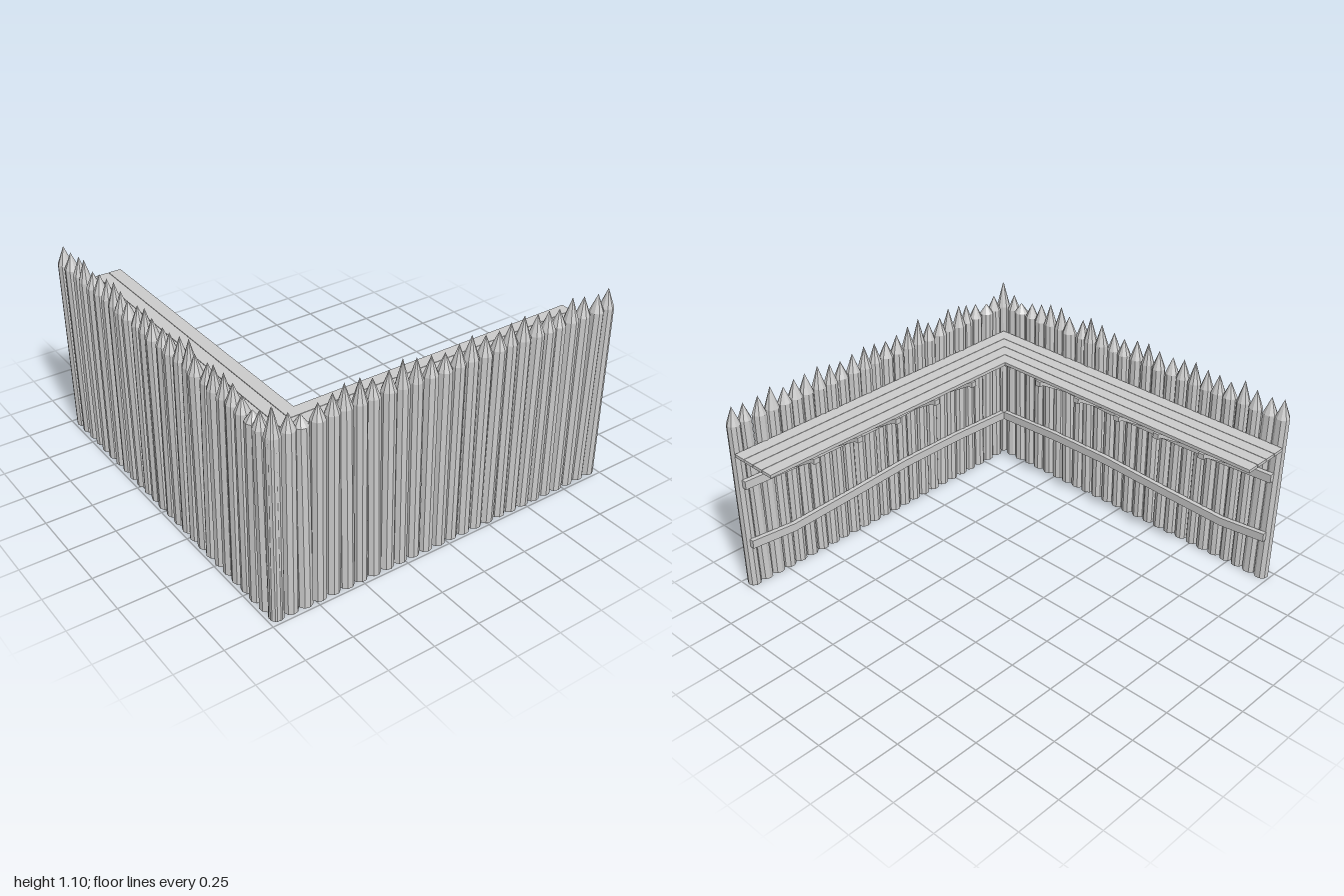
import * as THREE from 'three';

const material = new THREE.MeshStandardMaterial({ color: 0xcccccc, flatShading: true });

// Tip position along the wall and tip height of every stake, from the corner outwards
const TIPS = [
  [-0.95, 1.10], [-0.87, 1.045], [-0.81, 1.015], [-0.725, 1.04], [-0.65, 1.06], [-0.585, 1.08],
  [-0.51, 1.085], [-0.44, 1.055], [-0.35, 1.06], [-0.285, 1.10], [-0.21, 1.08], [-0.125, 1.06],
  [-0.05, 1.05], [0.03, 1.065], [0.11, 1.08], [0.185, 1.06], [0.27, 1.05], [0.345, 1.065],
  [0.42, 1.08], [0.50, 1.065], [0.57, 1.06], [0.64, 1.045], [0.72, 1.08], [0.80, 1.06],
  [0.885, 1.05], [0.955, 1.06],
];
const UPPER_RAIL = [[-0.91, 0.63], [-0.7, 0.655], [-0.5, 0.645], [-0.1, 0.622], [0.3, 0.617], [0.6, 0.62], [0.97, 0.635]];
const LOWER_RAIL = [[-0.89, 0.275], [-0.5, 0.29], [-0.1, 0.29], [0.3, 0.268], [0.7, 0.25], [0.97, 0.275]];
const BRACKETS = [-0.375, -0.1, 0.178, 0.437, 0.72];
const WALL = 0.95, INNER = 0.633, OUTER = 0.915;

function seeded(seed) {
  return () => (seed = (seed * 16807) % 2147483647) / 2147483647;
}

function add(group, name, geometry) {
  const mesh = new THREE.Mesh(geometry, material);
  mesh.name = name;
  group.add(mesh);
  return mesh;
}

// Pointed stake whose upper end is sheared to its tip position
function stake(baseX, tipX, tipY, random) {
  const r = 0.0365 + random() * 0.003;
  const profile = [[0, 0], [r, 0], [r * 0.98, 0.96], [0, tipY]].map(p => new THREE.Vector2(...p));
  const geometry = new THREE.LatheGeometry(profile, 9, random() * 6.28);
  const p = geometry.attributes.position;
  const leanZ = (random() - 0.5) * 0.014;
  for (let i = 0; i < p.count; i++) {
    const t = p.getY(i) / tipY;
    p.setX(i, p.getX(i) + baseX + (tipX - baseX) * t);
    p.setZ(i, p.getZ(i) + WALL + leanZ * t);
  }
  geometry.computeVertexNormals();
  return geometry;
}

// Gently bent rail: a segmented box whose columns follow the given points
function rail(points, dir) {
  const n = points.length - 1;
  const geometry = new THREE.BoxGeometry(n, 0.047, 0.026, n, 1, 1);
  const p = geometry.attributes.position;
  for (let i = 0; i < p.count; i++) {
    const column = Math.round(p.getX(i) + n / 2);
    const [x, y] = points[dir > 0 ? column : n - column];
    p.setXYZ(i, x * dir, p.getY(i) + y, p.getZ(i) + 0.902);
  }
  geometry.computeVertexNormals();
  return geometry;
}

// Walkway board, cut at 45 degrees where the two walkways meet
function board(z0, z1, end, dir) {
  const shape = new THREE.Shape([[-z0, z0], [end, z0], [end, z1], [-z1, z1]]
    .map(([x, z]) => new THREE.Vector2(x * dir, z)));
  const geometry = new THREE.ExtrudeGeometry(shape, { depth: 0.018, bevelEnabled: false });
  return geometry.rotateX(Math.PI / 2).translate(0, 0.818, 0);
}

// Diagonal brace with a level top and an upright foot, as a side profile
function brace(x) {
  const shape = new THREE.Shape([[0.905, 0.612], [0.905, 0.645], [0.70, 0.772], [0.64, 0.772]]
    .map(([z, y]) => new THREE.Vector2(-z, y)));
  const geometry = new THREE.ExtrudeGeometry(shape, { depth: 0.03, bevelEnabled: false });
  return geometry.rotateY(Math.PI / 2).translate(x - 0.015, 0, 0);
}

// One wall along x; dir -1 puts the corner at the +x end
function wall(name, dir, end, seed) {
  const group = new THREE.Group();
  group.name = name;
  const random = seeded(seed);
  TIPS.forEach(([tipX, tipY], i) => {
    const baseX = -0.95 + i * 0.076;
    add(group, 'stake', stake(baseX * dir, tipX * dir, tipY, random));
  });
  add(group, 'upperRail', rail(UPPER_RAIL, dir));
  add(group, 'lowerRail', rail(LOWER_RAIL, dir));

  // Four boards with narrow gaps
  const step = (OUTER - INNER) / 4;
  for (let i = 0; i < 4; i++) {
    const z = INNER + i * step;
    add(group, 'walkwayBoard', board(z, z + step - (i < 3 ? 0.003 : 0), end, dir));
  }

  // Brackets under the walkway
  for (const x of BRACKETS) {
    const beam = add(group, 'bracketBeam', new THREE.BoxGeometry(0.034, 0.03, 0.295));
    beam.position.set(x * dir, 0.785, 0.7675);
    add(group, 'bracketBrace', brace(x * dir));
  }
  return group;
}

export function createModel() {
  const model = new THREE.Group();
  model.name = 'palisadeCorner';
  model.add(wall('frontWall', 1, 0.99, 11));
  const side = wall('rightWall', -1, 1.0, 977);
  side.rotation.y = -Math.PI / 2;
  model.add(side);
  return model;
}
